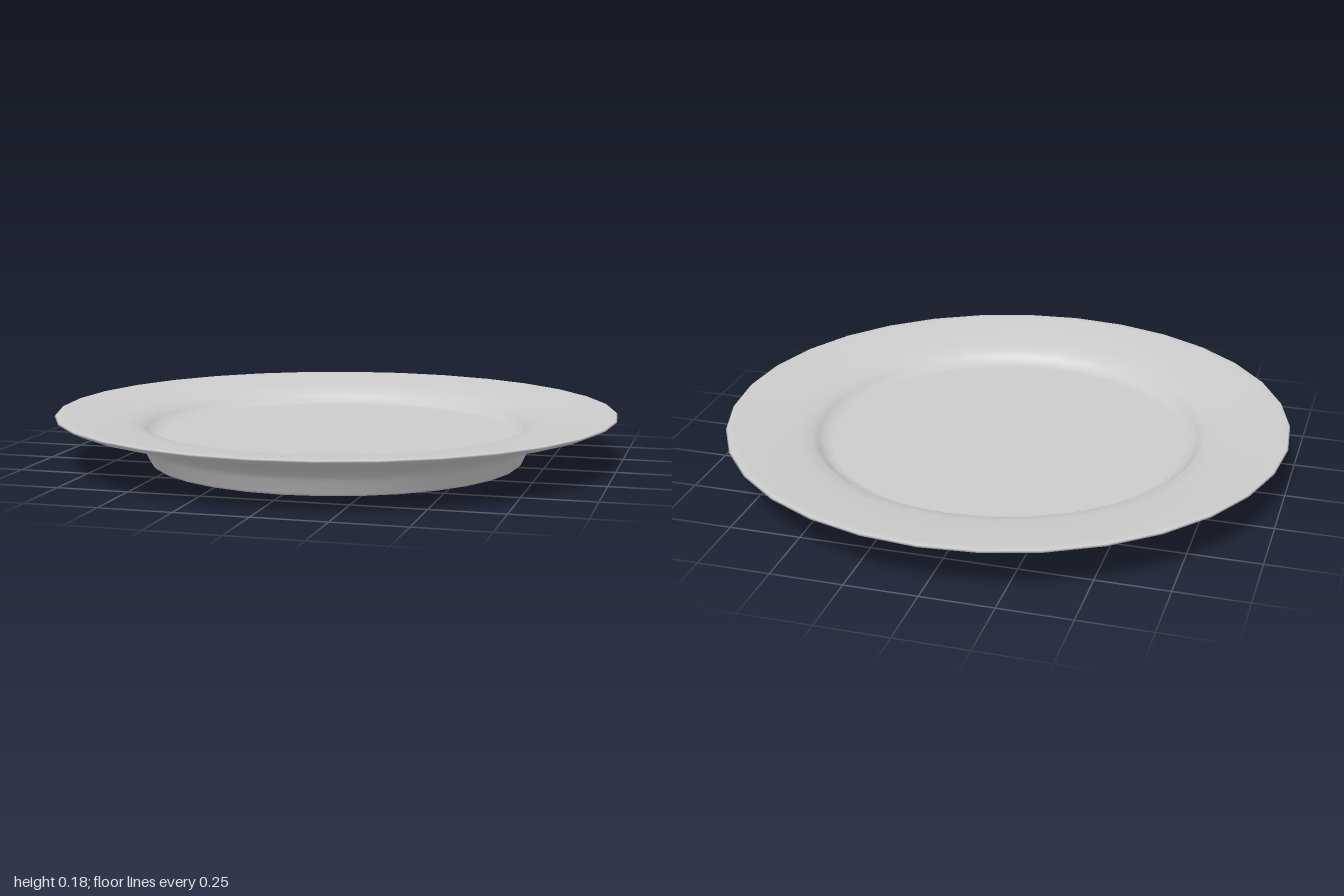
import * as THREE from 'three';

export function createModel() {
  const group = new THREE.Group();
  group.name = 'dinnerPlate';

  // Closed cross-section: underside from the axis outwards, over the rim, back along the top
  const profile = [
    [0, 0.004], [0.63, 0.004],                                  // base
    [0.645, 0], [0.66, 0], [0.67, 0.01], [0.69, 0.053],         // foot
    [0.71, 0.075], [0.75, 0.1], [0.84, 0.125], [0.965, 0.157],  // flared underside
    [1, 0.174], [0.995, 0.179], [0.97, 0.18],                   // lip
    [0.86, 0.168], [0.76, 0.155], [0.705, 0.143],               // upper rim
    [0.68, 0.122], [0.66, 0.103], [0.63, 0.098], [0, 0.098],    // well and floor
  ].map(([r, y]) => new THREE.Vector2(r, y));

  const plate = new THREE.Mesh(
    new THREE.LatheGeometry(profile, 32),
    new THREE.MeshStandardMaterial({ color: 0xcccccc })
  );
  plate.name = 'plate';
  group.add(plate);
  return group;
}
